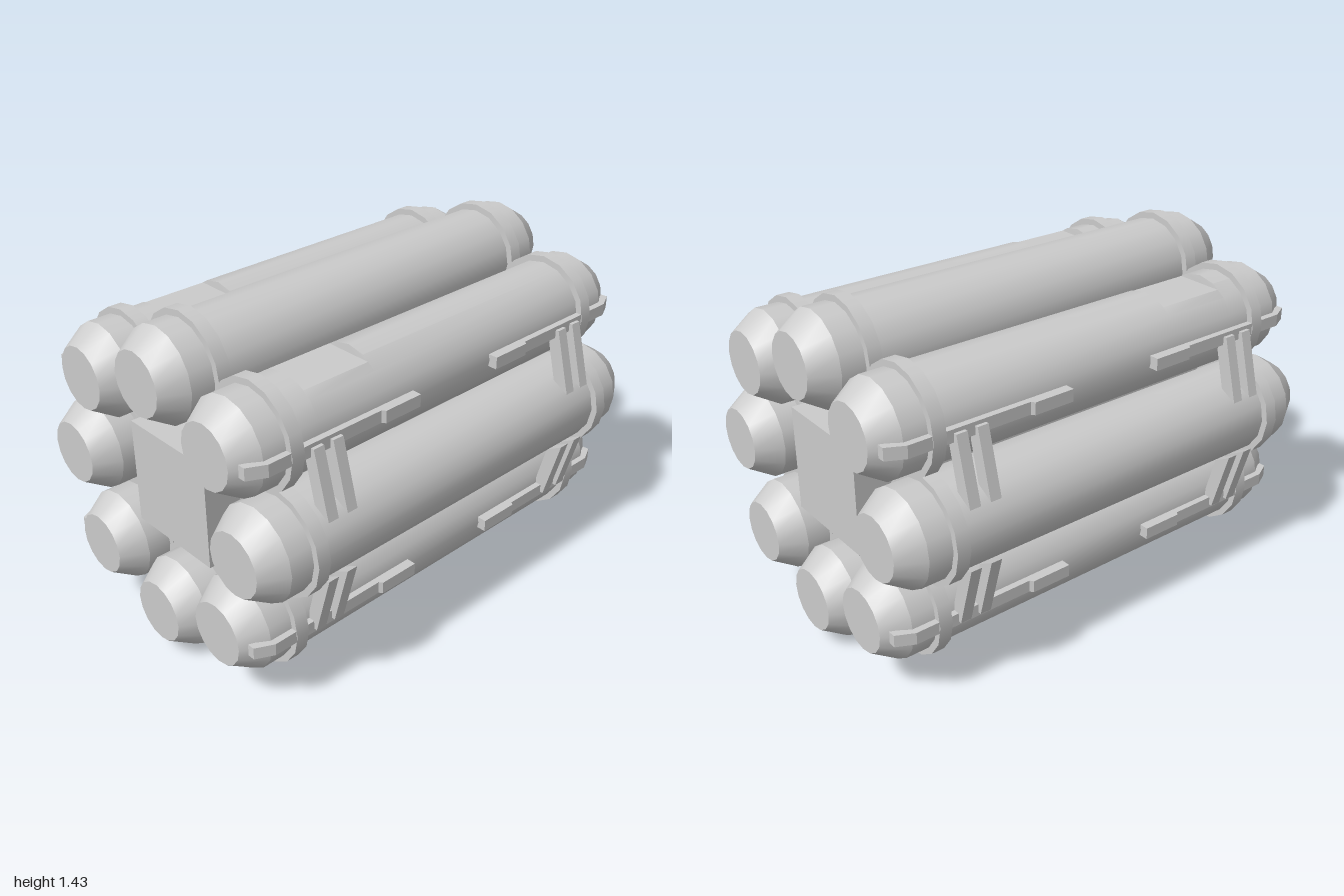
import * as THREE from 'three';
import { toCreasedNormals } from 'three/addons/utils/BufferGeometryUtils.js';

const CY = 0.715;   // height of the cluster axis
const R = 0.19;     // tube radius
const DIAG = 0.375; // x and y offset of the diagonal tubes
const SIDES = 16;

export function createModel() {
  const group = new THREE.Group();
  const material = new THREE.MeshStandardMaterial({ color: 0xcccccc });

  const add = (name, geometry, x = 0, y = 0, z = 0) => {
    const mesh = new THREE.Mesh(geometry, material);
    mesh.name = name;
    mesh.position.set(x, y, z);
    group.add(mesh);
  };

  // Tube with chamfered ends; recess = +1 / -1 cuts a flat near the front of its top / bottom
  const tubeGeometry = (recess = 0) => {
    const profile = [[0, -1], [0.127, -1], [R, -0.9]];
    if (recess) profile.push([R, 0.348], [R, 0.35], [R, 0.65], [R, 0.652]);
    profile.push([R, 0.9], [0.127, 1], [0, 1]);
    const geo = new THREE.LatheGeometry(profile.map(p => new THREE.Vector2(...p)), SIDES);
    geo.rotateX(Math.PI / 2);
    const pos = geo.attributes.position;
    for (let i = 0; recess && i < pos.count; i++) {
      if (Math.abs(pos.getZ(i) - 0.5) < 0.151 && pos.getY(i) * recess > 0.158) {
        pos.setY(i, 0.158 * recess);
        if (Math.abs(pos.getX(i)) > 0.01) pos.setX(i, 0.1 * Math.sign(pos.getX(i)));
      }
    }
    return toCreasedNormals(geo, 0.5);
  };

  const collarGeo = new THREE.CylinderGeometry(0.216, 0.216, 0.055, SIDES);
  collarGeo.rotateX(Math.PI / 2);

  // Eight tubes around the core, each with two collars
  const addTube = (x, y, recess) => {
    add('tube', tubeGeometry(recess), x, CY + y);
    for (const s of [-1, 1]) add('collar', collarGeo, x, CY + y, s * 0.775);
  };
  const d = 0.498;
  for (const s of [-1, 1]) {
    addTube(s * d, 0, 0);
    addTube(0, s * d, 0);
    for (const t of [-1, 1]) addTube(s * DIAG, t * DIAG, t);
  }

  // Square core
  add('core', new THREE.BoxGeometry(0.44, 0.44, 1.8), 0, CY, 0);

  const extrude = (points, depth) => {
    const shape = new THREE.Shape(points.map(p => new THREE.Vector2(...p)));
    const geo = new THREE.ExtrudeGeometry(shape, { depth, bevelEnabled: false });
    return geo.translate(0, 0, -depth / 2);
  };

  // Side rail in x, z: thick pad at the inner end, bent over the chamfer at the outer end
  const rail = [[0.55, 0.207], [0.6, 0.207], [0.6, 0.38], [0.586, 0.39], [0.586, 0.9],
    [0.55, 0.972], [0.52, 0.972], [0.55, 0.9]];
  // Strut in x, y (from the axis height): leans from a diagonal tube onto the side tube
  const strut = [[0.56, 0.385], [0.6, 0.385], [0.67, 0.125], [0.6, 0.165], [0.56, 0.32]];

  for (const sx of [-1, 1]) for (const sy of [-1, 1]) for (const sz of [-1, 1]) {
    const railGeo = extrude(rail.map(([x, z]) => [sx * x, sz * z]), 0.05);
    add('sideRail', railGeo.rotateX(Math.PI / 2), 0, CY + sy * DIAG, 0);
    for (const z of [0.607, 0.695]) {
      add('strut', extrude(strut.map(([x, y]) => [sx * x, sy * y]), 0.046), 0, CY, sz * z);
    }
  }
  return group;
}
